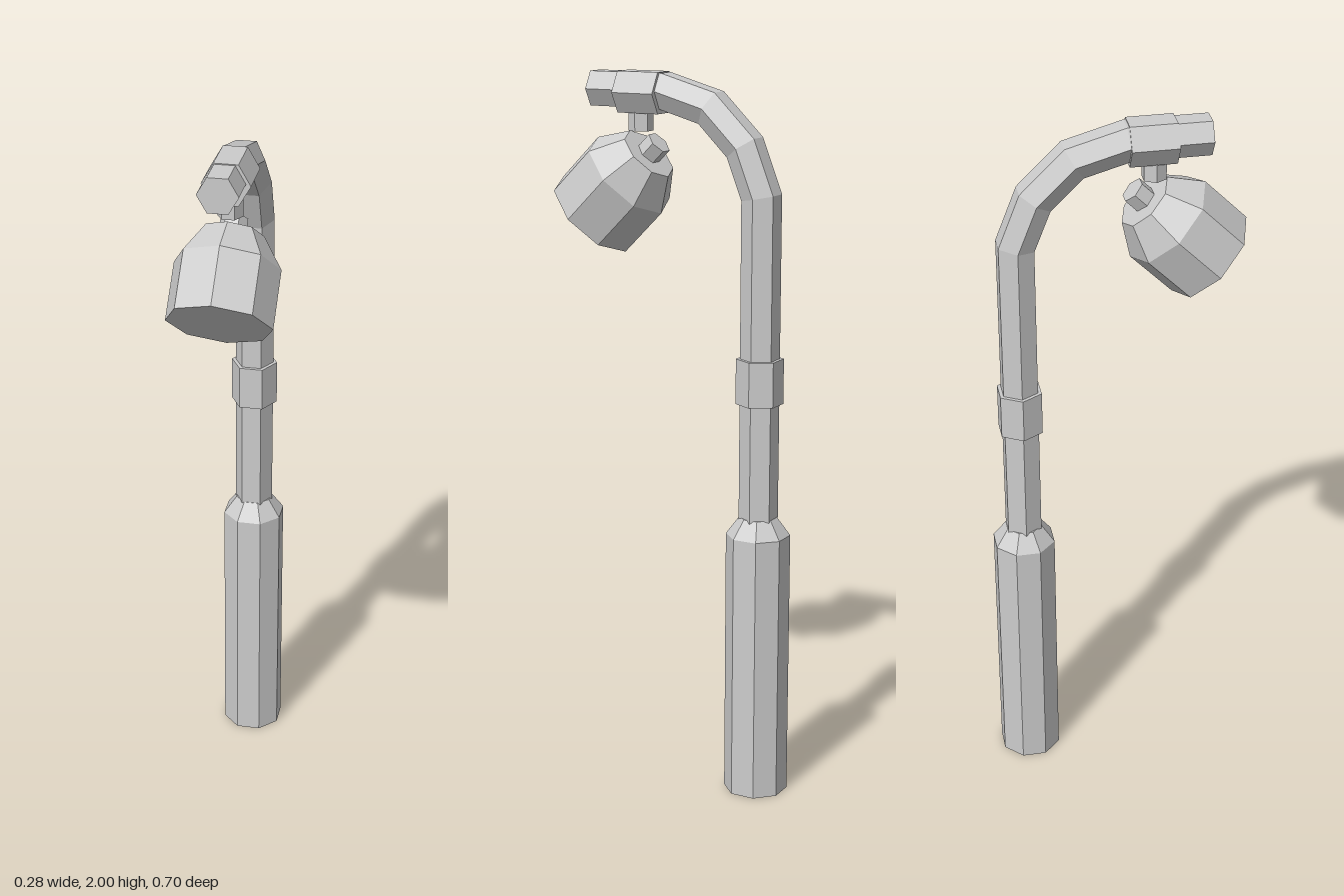
import * as THREE from 'three';

const POLE_X = -0.003;
const POLE_Z = -0.266;

// Mitred polygonal pipe along a path of [y, z] points, capped at both ends
function pipeGeometry(path, radius, sides) {
  const pts = path.map(([y, z]) => new THREE.Vector3(0, y, z));
  const rings = pts.map((p, i) => {
    const before = i > 0 ? p.clone().sub(pts[i - 1]).normalize() : null;
    const after = i < pts.length - 1 ? pts[i + 1].clone().sub(p).normalize() : null;
    const t = (before || after).clone().add(after || before).normalize();
    const stretch = 1 / t.dot(before || after);
    return Array.from({ length: sides }, (_, j) => {
      const a = (j / sides) * Math.PI * 2;
      const s = Math.sin(a) * radius * stretch;
      return [Math.cos(a) * radius, p.y + t.z * s, p.z - t.y * s];
    });
  });
  const pos = [];
  const tri = (a, b, c) => pos.push(...a, ...b, ...c);
  const last = rings.length - 1;
  for (let j = 0; j < sides; j++) {
    const k = (j + 1) % sides;
    for (let i = 0; i < last; i++) {
      tri(rings[i][j], rings[i][k], rings[i + 1][k]);
      tri(rings[i][j], rings[i + 1][k], rings[i + 1][j]);
    }
    tri(pts[0].toArray(), rings[0][k], rings[0][j]);
    tri(pts[last].toArray(), rings[last][j], rings[last][k]);
  }
  const g = new THREE.BufferGeometry();
  g.setAttribute('position', new THREE.Float32BufferAttribute(pos, 3));
  g.computeVertexNormals();
  return g;
}

export function createModel() {
  const model = new THREE.Group();
  model.name = 'streetLamp';
  const metal = new THREE.MeshStandardMaterial({ color: 0xcccccc, flatShading: true });
  metal.name = 'grey metal';

  const add = (parent, name, geometry, x = 0, y = 0, z = 0) => {
    const mesh = new THREE.Mesh(geometry, metal);
    mesh.name = name;
    mesh.position.set(x, y, z);
    parent.add(mesh);
    return mesh;
  };
  const prism = (top, bottom, height, sides, start) =>
    new THREE.CylinderGeometry(top, bottom, height, sides, 1, false, start);

  // Octagonal base with a tapered shoulder
  add(model, 'base', prism(0.089, 0.089, 0.75, 8, Math.PI / 8), POLE_X, 0.375, POLE_Z);
  add(model, 'baseShoulder', prism(0.052, 0.089, 0.05, 8, Math.PI / 8), POLE_X, 0.775, POLE_Z);

  // Hexagonal pole bending forward into the arm
  const path = [
    [0.78, POLE_Z], [1.68, POLE_Z], [1.81, -0.215],
    [1.91, -0.113], [1.95, 0.03], [1.95, 0.245],
  ];
  add(model, 'poleAndArm', pipeGeometry(path, 0.054, 6), POLE_X);

  // Hexagonal collars on the pole and the arm
  add(model, 'poleCollar', prism(0.065, 0.065, 0.125, 6, Math.PI / 2), POLE_X, 1.182, POLE_Z);
  const armCollar = add(model, 'armCollar', prism(0.064, 0.064, 0.125, 6, Math.PI / 2), 0, 1.944, 0.0925);
  armCollar.rotation.x = Math.PI / 2;

  // Hanger below the arm
  add(model, 'hanger', prism(0.034, 0.034, 0.08, 6, Math.PI / 2), 0, 1.88, 0.1);

  // Lamp head tilted forward and down; its origin is the middle of the mouth
  const head = new THREE.Group();
  head.name = 'lampHead';
  head.position.set(0, 1.604, 0.25);
  head.rotation.x = -Math.PI / 4;
  model.add(head);
  add(head, 'shade', prism(0.14, 0.14, 0.16, 8, 0), 0, 0.08, 0);
  add(head, 'shadeCrown', prism(0.084, 0.14, 0.087, 8, 0), 0, 0.2035, 0);
  add(head, 'headNeck', prism(0.036, 0.036, 0.06, 6, Math.PI / 2), 0, 0.262, 0);

  return model;
}
